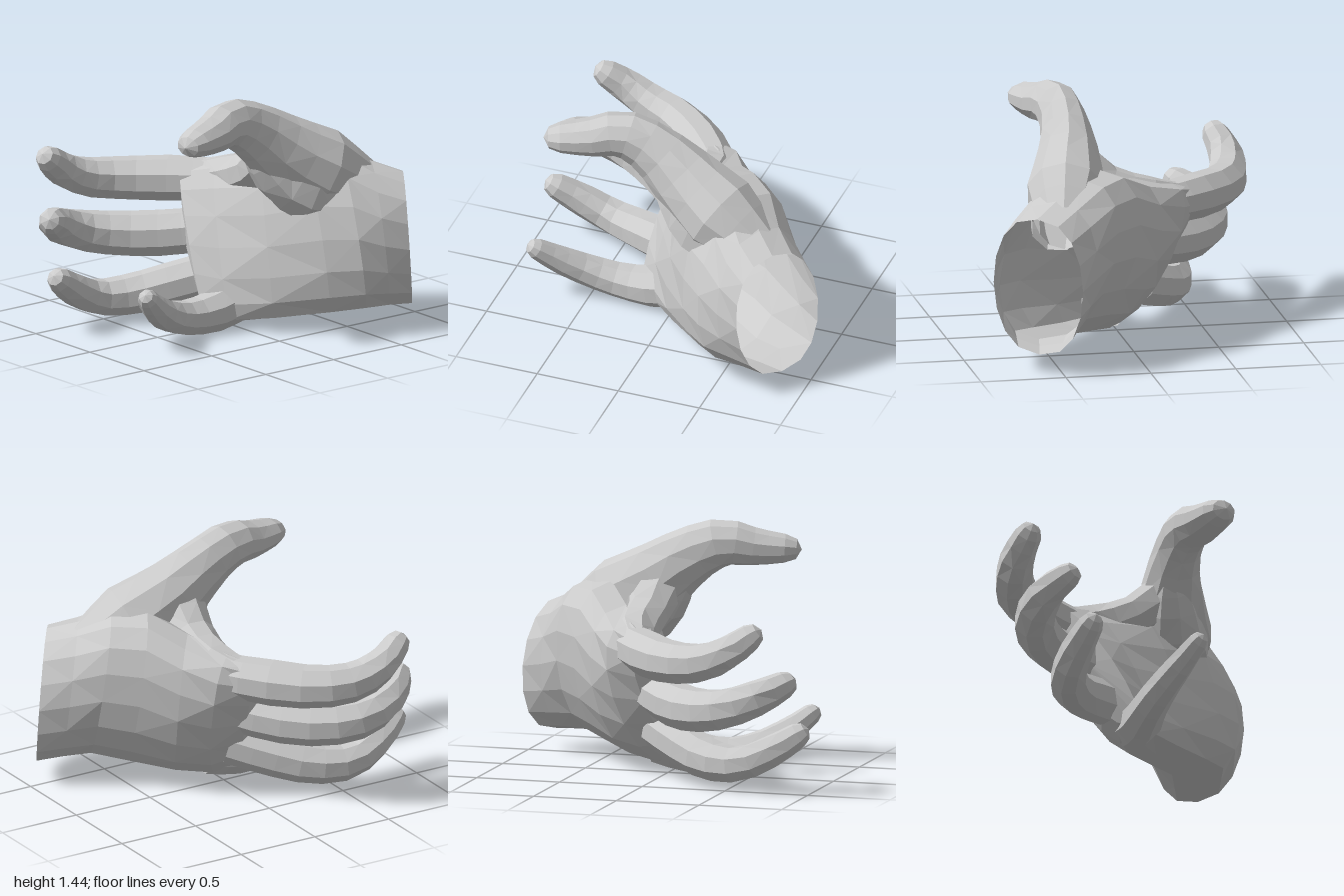
import * as THREE from 'three';

const V = (x, y, z) => new THREE.Vector3(x, y, z);
const skin = new THREE.MeshStandardMaterial({ color: 0xcccccc, flatShading: true, side: THREE.DoubleSide });

// Skin a list of equal-length rings; an optional end point closes the far end
function loft(name, rings, end) {
  const n = rings[0].length, pos = [], idx = [];
  for (const ring of rings) for (const p of ring) pos.push(p.x, p.y, p.z);
  for (let i = 0; i < rings.length - 1; i++) {
    for (let j = 0; j < n; j++) {
      const k = (j + 1) % n;
      const a = i * n + j, b = i * n + k, c = a + n, d = b + n;
      if ((i + j) % 2) idx.push(a, b, c, b, d, c);
      else idx.push(a, b, d, a, d, c);
    }
  }
  if (end) {
    pos.push(end.x, end.y, end.z);
    const e = rings.length * n, s = e - n;
    for (let j = 0; j < n; j++) idx.push(s + j, s + (j + 1) % n, e);
  }
  const geo = new THREE.BufferGeometry();
  geo.setAttribute('position', new THREE.Float32BufferAttribute(pos, 3));
  geo.setIndex(idx);
  geo.computeVertexNormals();
  const mesh = new THREE.Mesh(geo, skin);
  mesh.name = name;
  return mesh;
}

// Round limb along points [x, y, z, half width, half depth], with a domed tip
function digit(name, pts, steps = 9, sides = 8) {
  const curve = new THREE.CatmullRomCurve3(pts.map(p => V(p[0], p[1], p[2])));
  const rings = [];
  const ringAt = (c, t, w, h) => {
    const side = t.clone().cross(V(0, 1, 0)).normalize();
    const up = t.clone().cross(side);
    return Array.from({ length: sides }, (_, j) => {
      const a = (j + 0.5) / sides * Math.PI * 2;
      return c.clone().addScaledVector(side, w * Math.cos(a)).addScaledVector(up, h * Math.sin(a));
    });
  };
  for (let i = 0; i <= steps; i++) {
    const u = i / steps, f = u * (pts.length - 1);
    const k = Math.min(Math.floor(f), pts.length - 2);
    const size = m => THREE.MathUtils.lerp(pts[k][m] ?? pts[k][3], pts[k + 1][m] ?? pts[k + 1][3], f - k);
    rings.push(ringAt(curve.getPoint(u), curve.getTangent(u), size(3), size(4)));
  }
  const last = pts[pts.length - 1], r = last[3], h = last[4] ?? r;
  const c = curve.getPoint(1), t = curve.getTangent(1);
  rings.push(ringAt(c.clone().addScaledVector(t, r * 0.65), t, r * 0.7, h * 0.7));
  return loft(name, rings, c.clone().addScaledVector(t, r * 0.95));
}

// Palm and open wrist: oval sections, each a centre, half height and half thickness
function palm() {
  const sections = [
    [V(0.63, 0.525, -0.84), V(0, 0.395, 0.03), V(0.23, 0, 0.165), 0],
    [V(0.55, 0.56, -0.70), V(-0.05, 0.42, 0.02), V(0.26, 0, 0.165), 0],
    [V(0.45, 0.61, -0.56), V(-0.12, 0.47, 0), V(0.29, 0, 0.165), 0],
    [V(0.31, 0.60, -0.40), V(-0.12, 0.49, 0), V(0.31, 0, 0.17), 0.1],
    [V(0.11, 0.53, -0.21), V(-0.12, 0.46, -0.04), V(0.27, 0, 0.20), 0.25],
    [V(-0.09, 0.49, -0.06), V(-0.18, 0.44, -0.08), V(0.18, 0, 0.19), 0.25],
    [V(-0.21, 0.49, 0.07), V(-0.22, 0.39, -0.08), V(0.11, 0, 0.12), 0.1],
  ];
  const n = 16;
  const rings = sections.map(([c, up, out, hollow]) => Array.from({ length: n }, (_, j) => {
    const a = j / n * Math.PI * 2, co = Math.cos(a), si = Math.sin(a);
    const flat = Math.sign(co) * Math.pow(Math.abs(co), 0.8);
    // the inner face of the hand is cupped
    const cup = co > 0 ? 1 - hollow * co : 1;
    return c.clone().addScaledVector(out, flat * cup).addScaledVector(up, si);
  }));
  return loft('palmAndWrist', rings, V(-0.24, 0.48, 0.11));
}

export function createModel() {
  const hand = new THREE.Group();
  hand.name = 'hand';
  hand.add(palm());

  // Four curled fingers
  hand.add(digit('indexFinger', [
    [-0.22, 0.80, -0.16, 0.12], [-0.45, 0.79, 0.01, 0.135], [-0.67, 0.785, 0.25, 0.125],
    [-0.745, 0.81, 0.45, 0.115], [-0.76, 0.88, 0.6, 0.10], [-0.725, 0.97, 0.725, 0.08]]));
  hand.add(digit('middleFinger', [
    [-0.18, 0.54, -0.04, 0.13], [-0.38, 0.50, 0.14, 0.135], [-0.57, 0.495, 0.36, 0.13],
    [-0.65, 0.53, 0.56, 0.12], [-0.62, 0.60, 0.74, 0.105], [-0.52, 0.665, 0.865, 0.08]]));
  hand.add(digit('ringFinger', [
    [-0.10, 0.30, -0.02, 0.13], [-0.25, 0.23, 0.18, 0.13], [-0.385, 0.175, 0.38, 0.12],
    [-0.455, 0.175, 0.58, 0.105], [-0.44, 0.26, 0.77, 0.095], [-0.395, 0.35, 0.91, 0.075]]));
  hand.add(digit('littleFinger', [
    [0.07, 0.19, -0.08, 0.13], [0.075, 0.135, 0.12, 0.125], [0.075, 0.125, 0.32, 0.105],
    [0.11, 0.17, 0.50, 0.095], [0.19, 0.265, 0.67, 0.08], [0.265, 0.36, 0.785, 0.06]]));

  // Thumb with its fleshy root
  hand.add(digit('thumb', [
    [0.44, 0.82, -0.66, 0.15, 0.16], [0.38, 0.94, -0.42, 0.24, 0.25], [0.32, 1.09, -0.17, 0.19, 0.22],
    [0.30, 1.25, 0.05, 0.135, 0.165], [0.32, 1.325, 0.23, 0.13, 0.14],
    [0.38, 1.30, 0.41, 0.125, 0.11], [0.43, 1.29, 0.57, 0.105, 0.085]], 11, 10));
  hand.add(digit('thumbMuscle', [
    [0.46, 0.78, -0.52, 0.15], [0.40, 0.83, -0.34, 0.19], [0.33, 0.92, -0.18, 0.17], [0.29, 1.06, -0.05, 0.12]], 5));

  // Web of skin between thumb and index finger
  hand.add(digit('thumbWeb', [
    [0.33, 1.10, -0.12, 0.15], [0.09, 0.93, -0.16, 0.135, 0.12],
    [-0.15, 0.84, -0.16, 0.13], [-0.38, 0.80, -0.07, 0.10]], 6));
  return hand;
}
